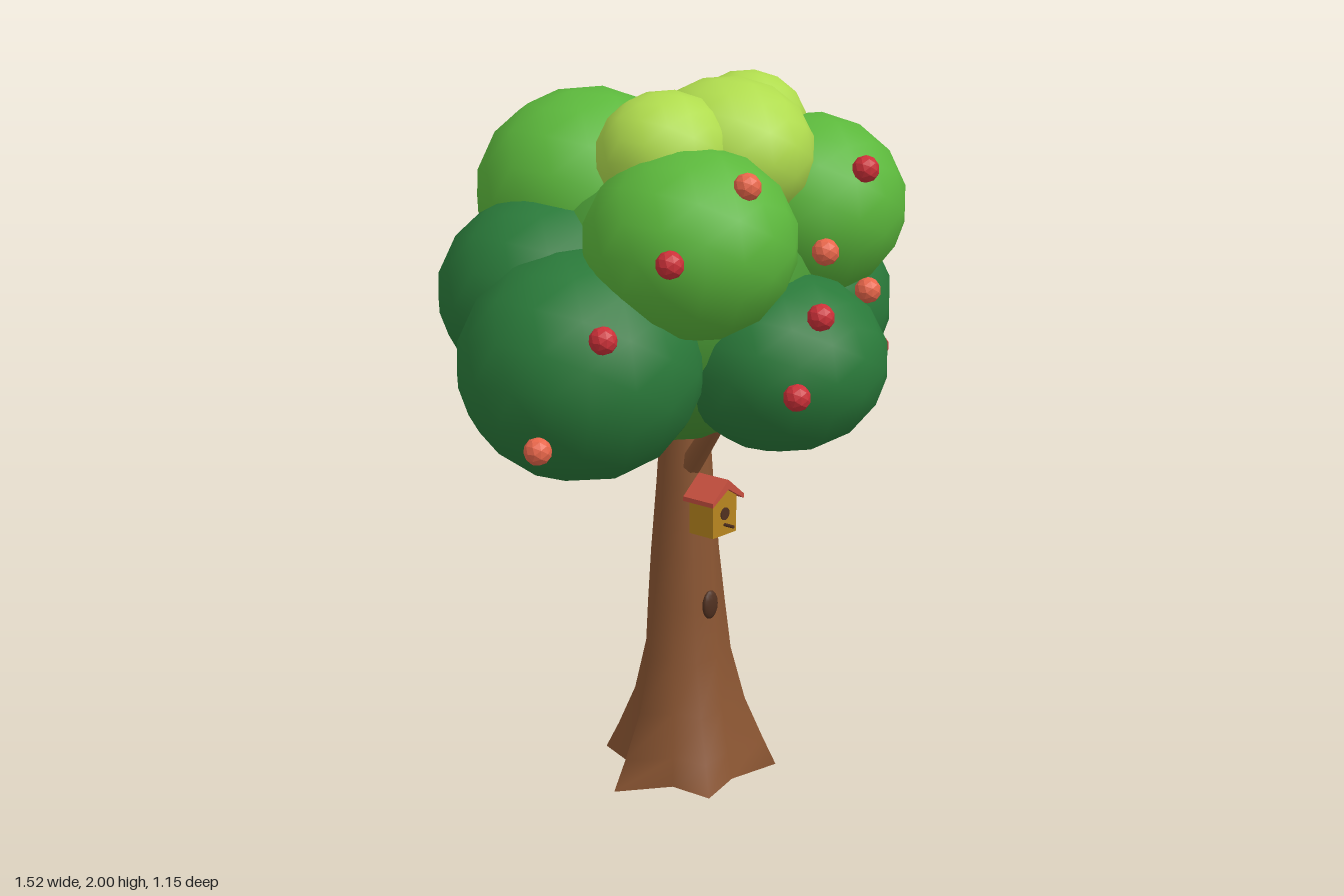
import * as THREE from 'three';

const mat = (color, extra = {}) => new THREE.MeshStandardMaterial({ color, ...extra });
const V = (x, y, z) => new THREE.Vector3(x, y, z);

const bark = mat(0x8a5532);
const darkBark = mat(0x4f3020);
const darkLeaf = mat(0x2a7a3a);
const midLeaf = mat(0x4a9a35);
const brightLeaf = mat(0x5cb83c);
const limeLeaf = mat(0xb0dc4e);
const red = mat(0xcc3038, { flatShading: true });
const orange = mat(0xe8664a, { flatShading: true });
const wood = mat(0xb8861f);
const roofRed = mat(0xc8503f);

function add(parent, name, geometry, material, position) {
  const mesh = new THREE.Mesh(geometry, material);
  mesh.name = name;
  if (position) mesh.position.set(...position);
  parent.add(mesh);
  return mesh;
}

// Trunk: star-shaped root flare that blends upwards into a round stem
function trunkGeometry() {
  const roots = [[45, 0.25], [125, 0.23], [189, 0.275], [261, 0.285], [345, 0.27]];
  // height, stem radius, share of the root flare left at this height
  const levels = [
    [0, 0.15, 1], [0.08, 0.14, 0.68], [0.2, 0.122, 0.34], [0.35, 0.111, 0.13],
    [0.5, 0.105, 0.05], [0.65, 0.096, 0], [0.85, 0.08, 0], [1.0, 0.07, 0], [1.2, 0.062, 0],
  ];
  const n = roots.length * 2;
  const positions = [], index = [];
  const addRing = ([y, r, flare]) => {
    const drift = Math.min(y / 0.4, 1);
    for (let j = 0; j < n; j++) {
      const [a0, tip] = roots[j >> 1];
      const next = roots[((j >> 1) + 1) % roots.length][0];
      const isTip = j % 2 === 0;
      const gap = (next - a0 + 360) % 360;
      const a = THREE.MathUtils.degToRad(isTip ? a0 : a0 + gap / 2);
      const radius = isTip ? r + (tip - r) * flare : r;
      positions.push(0.022 * drift + Math.cos(a) * radius, y, -0.034 * drift + Math.sin(a) * radius);
    }
  };
  levels.forEach(addRing);
  for (let i = 0; i < levels.length - 1; i++) {
    for (let j = 0; j < n; j++) {
      const a = i * n + j, b = i * n + (j + 1) % n;
      index.push(a, a + n, b, b, a + n, b + n);
    }
  }
  // underside
  const start = positions.length / 3;
  addRing(levels[0]);
  positions.push(0, 0, 0);
  for (let j = 0; j < n; j++) index.push(start + n, start + j, start + (j + 1) % n);
  const g = new THREE.BufferGeometry();
  g.setAttribute('position', new THREE.Float32BufferAttribute(positions, 3));
  g.setIndex(index);
  g.computeVertexNormals();
  return g;
}

function branch(parent, from, to, r0, r1) {
  const dir = to.clone().sub(from);
  const mesh = add(parent, 'branch', new THREE.CylinderGeometry(r1, r0, dir.length(), 8), bark);
  mesh.position.copy(from).addScaledVector(dir, 0.5);
  mesh.quaternion.setFromUnitVectors(V(0, 1, 0), dir.normalize());
}

function extrude(points, depth) {
  const shape = new THREE.Shape(points.map(([x, y]) => new THREE.Vector2(x, y)));
  return new THREE.ExtrudeGeometry(shape, { depth, bevelEnabled: false });
}

function createBirdhouse() {
  const house = new THREE.Group();
  house.name = 'birdhouse';
  add(house, 'birdhouseBody',
    extrude([[-0.05, 0], [0.05, 0], [0.05, 0.105], [0, 0.145], [-0.05, 0.105]], 0.085), wood, [0, 0, 0.045]);
  add(house, 'birdhouseRoof',
    extrude([[-0.066, 0.095], [0, 0.135], [0.066, 0.095], [0.066, 0.108], [0, 0.162], [-0.066, 0.108]], 0.108),
    roofRed, [0, 0, 0.036]);
  const hole = add(house, 'entranceHole', new THREE.CylinderGeometry(0.018, 0.018, 0.004, 12), darkBark, [0, 0.062, 0.131]);
  const perch = add(house, 'perch', new THREE.CylinderGeometry(0.005, 0.005, 0.035, 6), darkBark, [0, 0.03, 0.145]);
  hole.rotation.x = perch.rotation.x = Math.PI / 2;
  house.position.y = 0.73;
  return house;
}

export function createModel() {
  const tree = new THREE.Group();
  tree.name = 'tree';

  add(tree, 'trunk', trunkGeometry(), bark);
  add(tree, 'knot', new THREE.SphereGeometry(1, 12, 8), darkBark, [0, 0.513, 0.078]).scale.set(0.03, 0.042, 0.013);
  branch(tree, V(0.0, 0.9, 0.0), V(-0.04, 1.1, 0.16), 0.034, 0.025);
  branch(tree, V(0.04, 0.9, -0.05), V(0.24, 1.12, -0.08), 0.034, 0.025);
  tree.add(createBirdhouse());

  // Foliage: [name, material, centre, radii]
  const leafBall = new THREE.IcosahedronGeometry(1, 2);
  const foliage = [
    ['foliageCore', midLeaf, [0, 1.405, -0.06], [0.45, 0.43, 0.43]],
    ['foliageLowRight', darkLeaf, [-0.43, 1.28, 0.0], [0.335, 0.31, 0.325]],
    ['foliageLowLeft', darkLeaf, [0.42, 1.3, -0.05], [0.345, 0.315, 0.345]],
    ['foliageLowFront', darkLeaf, [0.035, 1.25, 0.3], [0.29, 0.245, 0.285]],
    ['foliageBackLeft', darkLeaf, [0.25, 1.455, -0.25], [0.305, 0.29, 0.29]],
    ['foliageBackRight', darkLeaf, [-0.32, 1.42, -0.225], [0.3, 0.275, 0.295]],
    ['foliageUpperRight', brightLeaf, [-0.255, 1.605, 0.225], [0.28, 0.255, 0.285]],
    ['foliageUpperLeft', brightLeaf, [0.265, 1.63, 0.2], [0.27, 0.25, 0.27]],
    ['foliageUpperBack', brightLeaf, [-0.1, 1.66, -0.28], [0.315, 0.285, 0.3]],
    ['foliageTop', limeLeaf, [0, 1.8, 0.135], [0.225, 0.2, 0.24]],
    ['foliageTopRight', limeLeaf, [-0.21, 1.815, 0.1], [0.188, 0.168, 0.178]],
    ['foliageTopLeft', limeLeaf, [0.18, 1.845, 0.05], [0.168, 0.145, 0.163]],
  ];
  for (const [name, material, centre, radii] of foliage) {
    add(tree, name, leafBall, material, centre).scale.set(...radii);
  }

  // Fruit scattered over the front half of the crown
  const fruitBall = new THREE.IcosahedronGeometry(0.037, 1);
  const redFruit = [
    [0.21, 1.76, 0.435], [0.485, 1.78, 0.12], [0.54, 1.625, 0.26], [-0.505, 1.61, 0.375], [-0.62, 1.42, 0.255],
    [-0.07, 1.42, 0.51], [0.33, 1.25, 0.39], [-0.165, 1.225, 0.51],
  ];
  const orangeFruit = [[-0.28, 1.78, 0.435], [0.055, 1.56, 0.425], [0.35, 1.395, 0.345], [-0.72, 1.13, 0.12]];
  for (const p of redFruit) add(tree, 'redFruit', fruitBall, red, p);
  for (const p of orangeFruit) add(tree, 'orangeFruit', fruitBall, orange, p);

  return tree;
}
